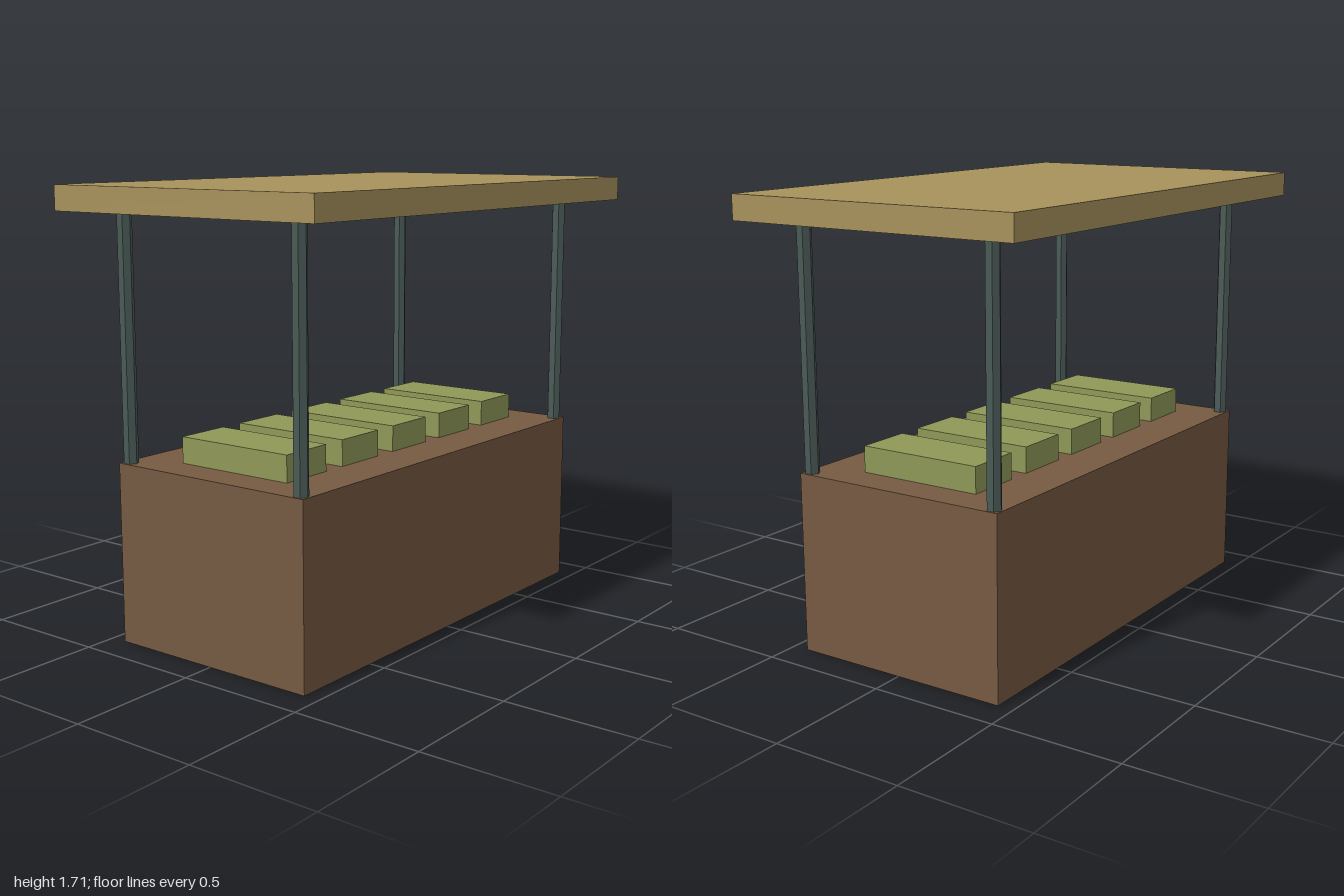
import * as THREE from 'three';

const COUNTER_TOP = 0.69;
const ROOF_BOTTOM = 1.612;
const ROOF_TOP = 1.706;

const material = (color) => new THREE.MeshStandardMaterial({ color, flatShading: true });

export function createModel() {
  const model = new THREE.Group();
  model.name = 'marketStall';

  const wood = material(0x765a42);
  const canvas = material(0xa8925c);
  const metal = material(0x4a5a56);
  const produce = material(0x8f9857);

  // Places a geometry so that its underside rests at the given height
  function add(name, geometry, mat, x, bottom, z) {
    const mesh = new THREE.Mesh(geometry, mat);
    mesh.name = name;
    mesh.position.set(x, bottom + geometry.parameters.height / 2, z);
    model.add(mesh);
  }

  // Solid counter and flat roof slab
  add('counter', new THREE.BoxGeometry(1.75, COUNTER_TOP, 0.875), wood, 0, 0, 0);
  add('roof', new THREE.BoxGeometry(2, ROOF_TOP - ROOF_BOTTOM, 1.19), canvas, 0, ROOF_BOTTOM, 0);

  // Four six-sided posts at the corners
  const post = new THREE.CylinderGeometry(0.028, 0.028, ROOF_BOTTOM - COUNTER_TOP, 6);
  for (const [side, x] of [['Left', 0.844], ['Right', -0.844]]) {
    for (const [end, z] of [['front', 0.406], ['back', -0.406]]) {
      add(`${end}${side}Post`, post, metal, x, COUNTER_TOP, z);
    }
  }

  // Row of five crates on the counter
  const crate = new THREE.BoxGeometry(0.219, 0.1, 0.5);
  for (let i = 0; i < 5; i++) {
    add(`crate${i + 1}`, crate, produce, (i - 2) * 0.3125, COUNTER_TOP, 0);
  }

  return model;
}
